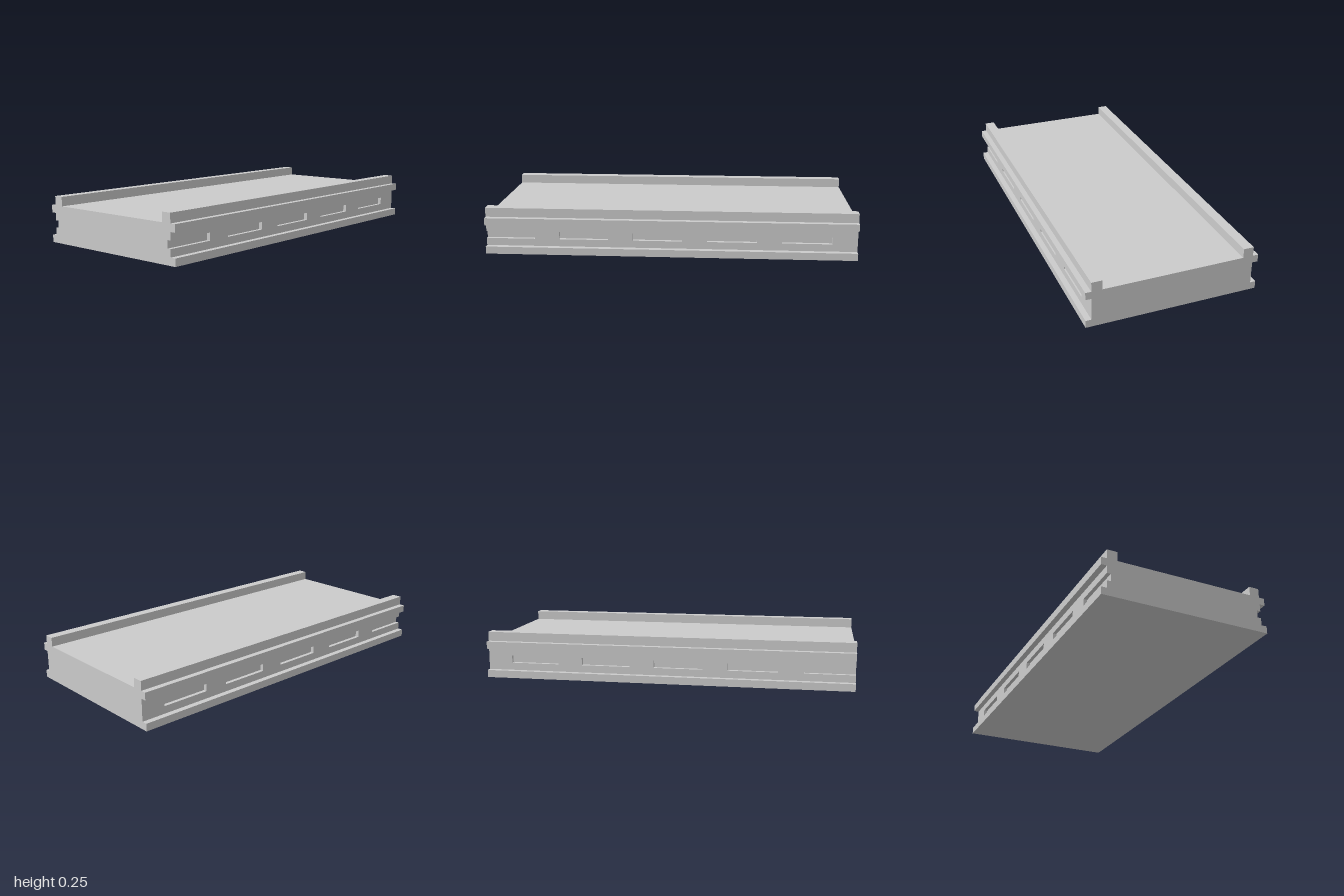
import * as THREE from 'three';

export function createModel() {
  const group = new THREE.Group();
  group.name = 'railedDeck';
  const material = new THREE.MeshStandardMaterial({ color: 0xcccccc, flatShading: true });

  // Half of the cross-section, from the bottom flange up to the inside of the top rail
  const half = [
    [0.46, 0], [0.46, 0.04], [0.43, 0.04],
    [0.43, 0.08], [0.41, 0.08], [0.41, 0.12], [0.43, 0.12], // slot groove
    [0.43, 0.16], [0.46, 0.16], [0.46, 0.2], [0.43, 0.2],
    [0.43, 0.25], [0.375, 0.25], [0.375, 0.2],
  ];
  const mirrored = half.map(([x, y]) => [-x, y]).reverse();
  const profile = new THREE.Shape([...half, ...mirrored].map(([x, y]) => new THREE.Vector2(x, y)));

  // Deck, flanges and rails run the full length
  const deckGeometry = new THREE.ExtrudeGeometry(profile, { depth: 2, bevelEnabled: false });
  deckGeometry.translate(0, 0, -1);
  const deck = new THREE.Mesh(deckGeometry, material);
  deck.name = 'deck';
  group.add(deck);

  // Blocks in the side grooves leave five slots per side, the first open at the front
  const pitch = 0.4;
  const blockLength = pitch / 3;
  const blockGeometry = new THREE.BoxGeometry(0.02, 0.04, blockLength);
  for (const side of [1, -1]) {
    for (let i = 0; i < 5; i++) {
      const block = new THREE.Mesh(blockGeometry, material);
      block.name = `${side > 0 ? 'left' : 'right'}SlotDivider${i + 1}`;
      block.position.set(side * 0.42, 0.1, 1 - (i + 1) * pitch + blockLength / 2);
      group.add(block);
    }
  }
  return group;
}
